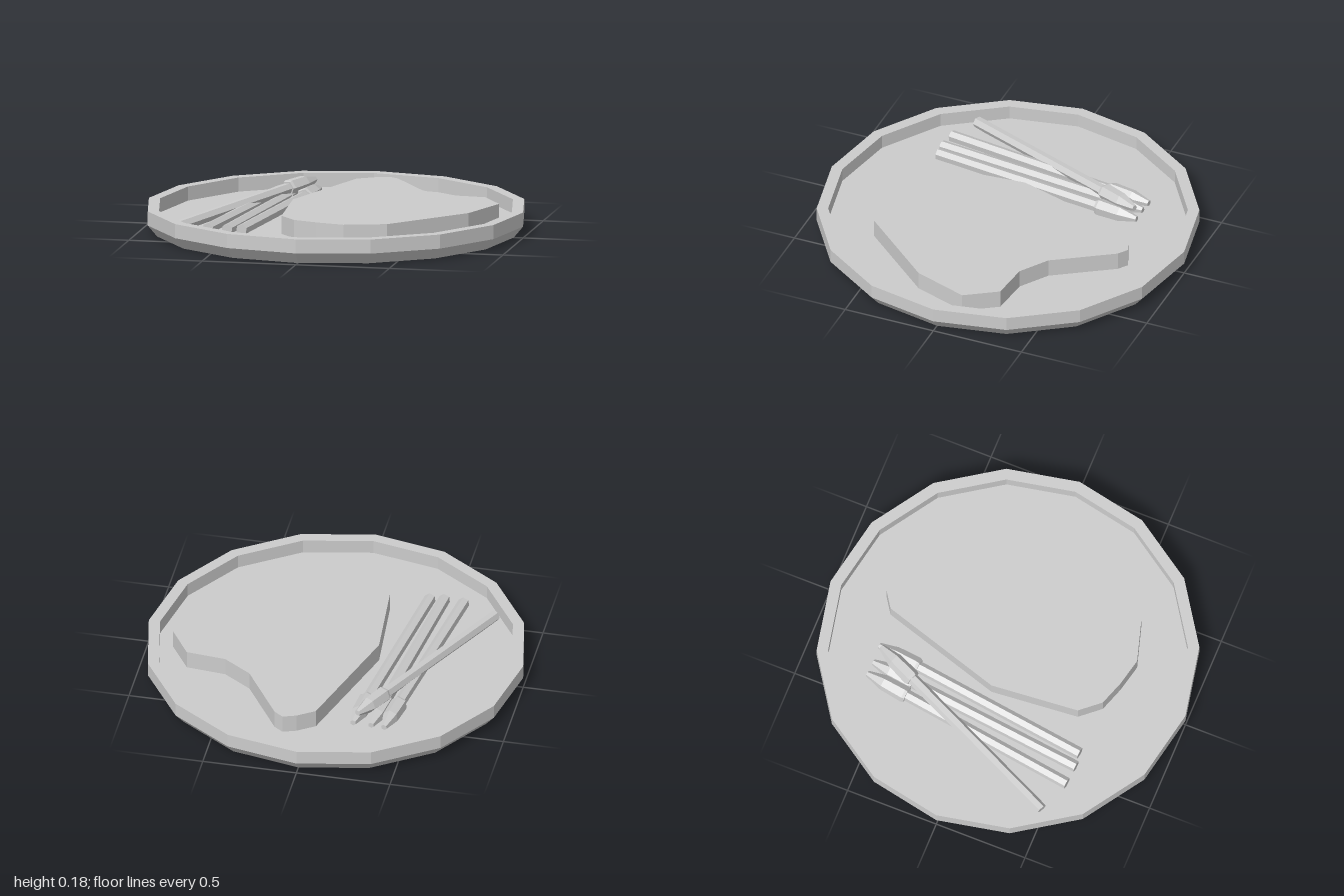
import * as THREE from 'three';

const grey = new THREE.MeshStandardMaterial({ color: 0xcccccc, flatShading: true });
grey.name = 'plain grey';

const FLOOR = 0.06; // height of the plate's recessed floor

function lathe(name, points, sides) {
  const profile = points.map(([r, y]) => new THREE.Vector2(r, y));
  const mesh = new THREE.Mesh(new THREE.LatheGeometry(profile, sides), grey);
  mesh.name = name;
  return mesh;
}

// Spear with a slim stalk and a thicker pointed head, laid from the cut end to the tip
function spear(name, from, to) {
  const a = new THREE.Vector3(...from);
  const dir = new THREE.Vector3(...to).sub(a);
  const len = dir.length();
  const neck = len - 0.24;
  const group = new THREE.Group();
  group.name = name;
  group.add(
    lathe('stalk', [[0, 0], [0.031, 0], [0.031, neck + 0.02]], 6),
    lathe('spearHead', [[0, neck], [0.04, neck], [0.046, neck + 0.015],
      [0.042, len - 0.1], [0.016, len], [0, len]], 6)
  );
  group.position.copy(a);
  group.quaternion.setFromUnitVectors(new THREE.Vector3(0, 1, 0), dir.normalize());
  return group;
}

export function createModel() {
  const model = new THREE.Group();
  model.name = 'servedPlate';

  // Sixteen-sided plate with bevelled foot and raised rim
  model.add(lathe('plate', [[0, 0], [0.95, 0], [1, 0.06], [1, 0.135],
    [0.94, 0.135], [0.94, FLOOR], [0, FLOOR]], 16));

  // Slab of meat, outline given as x, z
  const outline = [[-0.03, -0.65], [0.06, -0.71], [0.13, -0.735], [0.18, -0.7],
    [0.38, -0.39], [0.53, -0.29], [0.74, -0.27], [0.85, -0.1], [0.75, 0.19],
    [0.4, 0.59], [0.18, 0.655], [0.03, 0.62], [-0.1, 0.575], [-0.19, 0.47], [-0.23, 0]];
  const shape = new THREE.Shape(outline.map(([x, z]) => new THREE.Vector2(x, -z)));
  const slab = new THREE.ExtrudeGeometry(shape, { depth: 0.157 - FLOOR, bevelEnabled: false });
  slab.rotateX(-Math.PI / 2);
  const steak = new THREE.Mesh(slab, grey);
  steak.name = 'steak';
  steak.position.y = FLOOR;
  model.add(steak);

  // Three spears side by side and one lying across them
  model.add(
    spear('leftSpear', [-0.565, 0.09, 0.56], [-0.39, 0.095, -0.635]),
    spear('middleSpear', [-0.46, 0.09, 0.57], [-0.32, 0.095, -0.63]),
    spear('rightSpear', [-0.385, 0.09, 0.56], [-0.225, 0.1, -0.635]),
    spear('crossingSpear', [-0.745, 0.08, 0.49], [-0.245, 0.152, -0.615])
  );
  return model;
}
